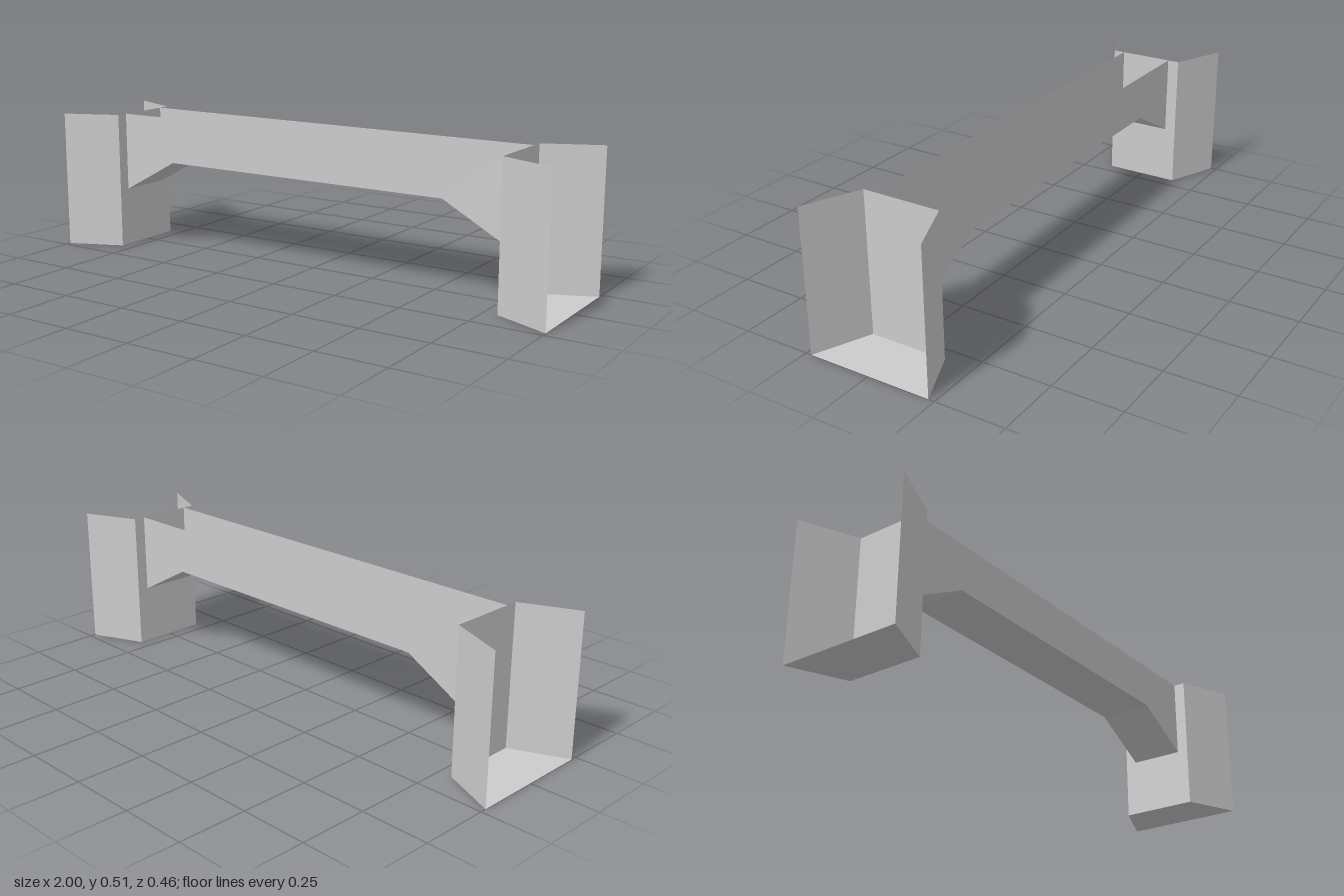
import * as THREE from 'three';

const material = new THREE.MeshStandardMaterial({ color: 0xcccccc, side: THREE.DoubleSide, flatShading: true });

// Sweeps a path of points along one direction into a thin faceted sheet
function sheet(path, direction) {
  const points = [];
  for (let i = 0; i < path.length - 1; i++) {
    const [a, b] = [path[i], path[i + 1]];
    const [c, d] = [b.clone().add(direction), a.clone().add(direction)];
    points.push(a, b, c, a, c, d);
  }
  const geometry = new THREE.BufferGeometry().setFromPoints(points);
  geometry.computeVertexNormals();
  return geometry;
}

function panel(outline) {
  return new THREE.ShapeGeometry(new THREE.Shape(outline.map(([x, y]) => new THREE.Vector2(x, y))));
}

function add(parent, name, geometry) {
  const mesh = new THREE.Mesh(geometry, material);
  mesh.name = name;
  parent.add(mesh);
  return mesh;
}

export function createModel() {
  const model = new THREE.Group();
  model.name = 'bridge';
  const top = 0.515, halfWidth = 0.1;

  // Open-topped span with haunched ends
  const span = new THREE.Group();
  span.name = 'span';
  const underside = [[-0.8, 0.22], [-0.57, 0.345], [0.57, 0.345], [0.8, 0.22]];
  const side = panel([...underside, [0.8, top], [-0.8, top]]);
  add(span, 'frontSide', side).position.z = halfWidth;
  const back = add(span, 'backSide', side);
  back.position.z = -halfWidth;
  back.rotation.y = Math.PI;
  add(span, 'underside', sheet(
    underside.map(([x, y]) => new THREE.Vector3(x, y, -halfWidth)),
    new THREE.Vector3(0, 0, 2 * halfWidth)));
  model.add(span);

  // Flared abutments, open at the top and the outer end
  const plan = [[1, -0.228], [0.8, -0.143], [0.8, 0.143], [1, 0.228]];
  const walls = sheet(plan.map(([x, z]) => new THREE.Vector3(x, 0, z)), new THREE.Vector3(0, top, 0));
  const floor = panel(plan).rotateX(Math.PI / 2);
  for (const [name, turn] of [['leftAbutment', 0], ['rightAbutment', Math.PI]]) {
    const abutment = new THREE.Group();
    abutment.name = name;
    add(abutment, 'wingWalls', walls);
    add(abutment, 'base', floor);
    abutment.rotation.y = turn;
    model.add(abutment);
  }
  return model;
}
